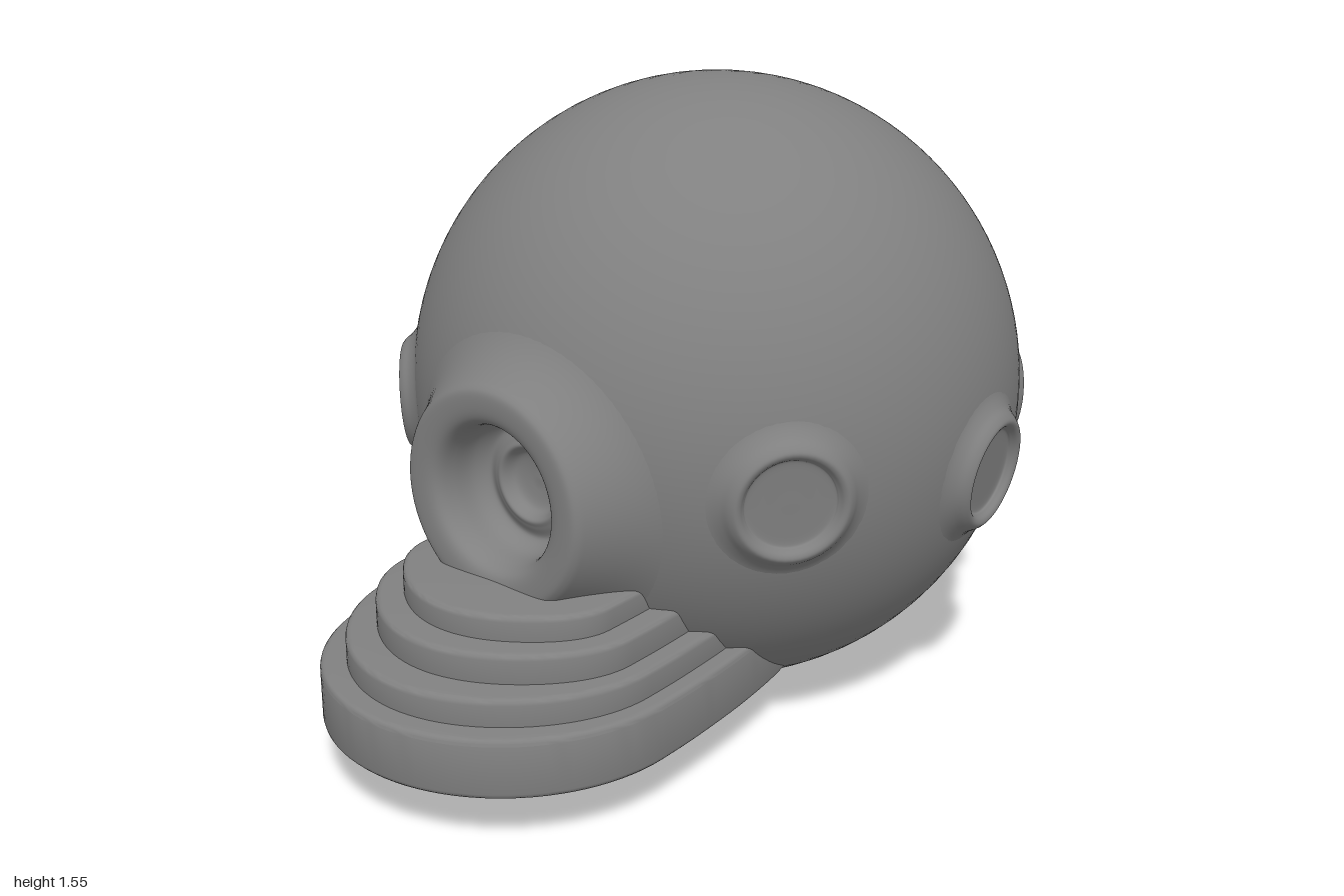
import * as THREE from 'three';
import { toCreasedNormals, mergeVertices } from 'three/addons/utils/BufferGeometryUtils.js';

const R = 0.775;
const CENTER = new THREE.Vector3(0.225, R, 0);
const UP = new THREE.Vector3(0, 1, 0);
const DOOR_Y = 0.68;

// Lathe from a smoothed profile of [radius, height] points
function smoothLathe(points, samples, segments) {
  const curve = new THREE.SplineCurve(points.map(([r, y]) => new THREE.Vector2(r, y)));
  const pts = curve.getPoints(samples);
  pts.forEach((p) => { p.x = Math.max(p.x, 0); });
  return new THREE.LatheGeometry(pts, segments);
}

// Door collar: a turned ring whose outer skirt is moved to flow into the dome
function collarGeometry() {
  const geo = smoothLathe([
    [0.42, 0.45], [0.37, 0.48], [0.32, 0.53], [0.285, 0.575], [0.27, 0.603], [0.25, 0.615],
    [0.205, 0.613], [0.18, 0.597], [0.168, 0.56], [0.162, 0.5], [0.14, 0.465], [0.11, 0.475],
    [0.09, 0.48], [0.07, 0.45], [0.03, 0.44], [0, 0.44],
  ], 100, 72);
  const pos = geo.attributes.position;
  const skirt = 0.275;
  for (let i = 0; i < pos.count; i++) {
    const x = pos.getX(i), z = pos.getZ(i), r = Math.hypot(x, z);
    if (r <= skirt) continue;
    const t = Math.min((r - skirt) / 0.14, 1);
    const surface = Math.sqrt(R * R - (x + DOOR_Y - R) ** 2 - z * z) - CENTER.x;
    pos.setY(i, surface + (0.595 - surface) * (1 - t) ** 3 - 0.005 * t);
  }
  geo.deleteAttribute('uv');
  geo.deleteAttribute('normal');
  const merged = mergeVertices(geo, 1e-5);
  merged.computeVertexNormals();
  return merged;
}

// One step: rounded front with slightly drawn-in corners, narrowing back into the dome
function stepGeometry(a, b, y0, y1, drawIn) {
  const bevel = 0.014, cx = -0.54, n = 48;
  const outline = [];
  for (let i = 0; i <= n; i++) {
    const t = Math.PI / 2 + (Math.PI * i) / n;
    const k = 1 - drawIn * Math.sin(2 * t) ** 2;
    outline.push([cx + (a - bevel) * k * Math.cos(t), (b - bevel) * k * Math.sin(t)]);
  }
  const flank = new THREE.SplineCurve(
    [[0.2, 0.72], [0, 0.87], [-0.2, 0.95], [-0.4, 0.99], [cx, 1]]
      .map(([x, k]) => new THREE.Vector2(x, (b - bevel) * k)),
  ).getPoints(24).slice(0, -1).map((p) => [p.x, p.y]);
  const mirrored = flank.map(([x, y]) => [x, -y]).reverse();
  const shape = new THREE.Shape(
    [...flank, ...outline, ...mirrored].map(([x, y]) => new THREE.Vector2(x, y)),
  );
  const geo = new THREE.ExtrudeGeometry(shape, {
    depth: y1 - y0 - 2 * bevel, bevelEnabled: true,
    bevelSize: bevel, bevelThickness: bevel, bevelSegments: 3,
  });
  geo.rotateX(-Math.PI / 2);
  geo.translate(0, y0 + bevel, 0);
  return toCreasedNormals(geo, 0.7);
}

export function createModel() {
  const model = new THREE.Group();
  const material = new THREE.MeshStandardMaterial({ color: 0x808080 });
  const add = (name, geometry, parent = model) => {
    const mesh = new THREE.Mesh(geometry, material);
    mesh.name = name;
    parent.add(mesh);
    return mesh;
  };

  // Spherical dome, left open behind the doorway
  const arc = [];
  const opening = 0.26;
  for (let i = 0; i <= 80; i++) {
    const t = Math.PI + (opening - Math.PI) * (i / 80);
    arc.push(new THREE.Vector2(Math.max(R * Math.sin(t), 0), R * Math.cos(t)));
  }
  const dome = add('dome', new THREE.LatheGeometry(arc, 96));
  dome.rotation.z = Math.PI / 2 + 0.125;
  dome.position.copy(CENTER);

  // Flared door collar with a recess and a small inner ring
  const collar = add('doorCollar', collarGeometry());
  collar.rotation.z = Math.PI / 2;
  collar.position.y = DOOR_Y;

  // Raised round windows with soft flared rims, mirrored front and back
  const windowGeo = smoothLathe([
    [0.205, 0.744], [0.18, 0.756], [0.16, 0.772], [0.145, 0.791], [0.132, 0.801],
    [0.12, 0.798], [0.11, 0.786], [0.1, 0.779], [0.05, 0.778], [0, 0.778],
  ], 54, 48);
  const windows = new THREE.Group();
  windows.name = 'windows';
  model.add(windows);
  const directions = [[0.605, -0.095, 0.49], [0.075, -0.105, 0.78], [-0.495, -0.055, 0.6]];
  for (const [x, y, z] of directions) {
    for (const side of [1, -1]) {
      const mesh = add('window', windowGeo, windows);
      mesh.quaternion.setFromUnitVectors(UP, new THREE.Vector3(x, y, z * side).normalize());
      mesh.position.copy(CENTER);
    }
  }

  // Stacked entrance steps: reach, half width, bottom, top, corner draw-in
  const steps = new THREE.Group();
  steps.name = 'steps';
  model.add(steps);
  [
    [0.46, 0.457, 0.14, 0.285, 0],
    [0.4, 0.41, 0.25, 0.35, 0.02],
    [0.315, 0.36, 0.32, 0.42, 0.04],
    [0.24, 0.3, 0.38, 0.48, 0.05],
  ].forEach((step) => add('step', stepGeometry(...step), steps));

  return model;
}
